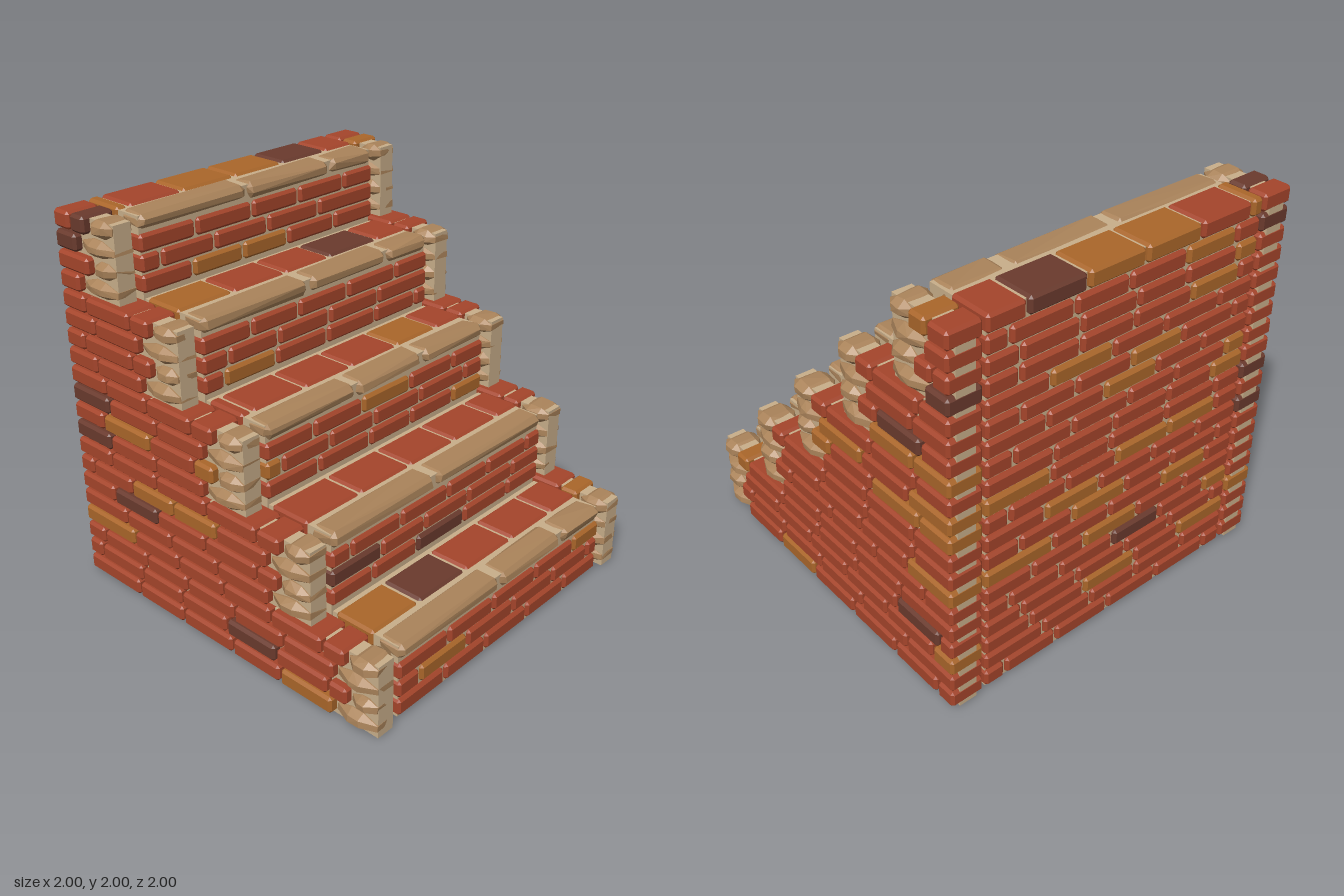
import * as THREE from 'three';
import { mergeGeometries } from 'three/addons/utils/BufferGeometryUtils.js';
import { ConvexGeometry } from 'three/addons/geometries/ConvexGeometry.js';

const colours = { red: 0xa5452b, orange: 0xaa662a, dark: 0x6a3a2d, stone: 0xaa835a, mortar: 0xc8ae8a };
const materials = {};
for (const [name, color] of Object.entries(colours)) {
  materials[name] = new THREE.MeshStandardMaterial({ color });
  materials[name].name = name;
}

// Small seeded generator for wear and colour scatter
let seed = 11;
const rand = () => (seed = (seed * 16807) % 2147483647) / 2147483647;
const wobble = (a) => (rand() - 0.5) * 2 * a;

// Block between two corners with chamfers c = [x, y, z]; wear shifts its points inwards
function block(lo, hi, c, wear = 0) {
  const mid = lo.map((v, i) => (v + hi[i]) / 2);
  const half = lo.map((v, i) => (hi[i] - v) / 2);
  const points = [];
  for (let axis = 0; axis < 3; axis++) {
    for (const sx of [-1, 1]) for (const sy of [-1, 1]) for (const sz of [-1, 1]) {
      const s = [sx, sy, sz];
      const p = s.map((sign, i) => {
        const inset = i === axis ? 0 : Math.min(c[i], half[i] * 0.8);
        return mid[i] + sign * (half[i] - inset - rand() * wear);
      });
      points.push(new THREE.Vector3(...p));
    }
  }
  return new ConvexGeometry(points);
}

// Cut a run of bricks into [from, to] pieces with mortar joints
function cut(length, first, pitch, joint = 0.014) {
  const pieces = [];
  let a = 0, b = first;
  while (a < length - 0.01) {
    if (length - b < 0.09) b = length;
    pieces.push([a + (a ? joint / 2 : 0), b - (b < length ? joint / 2 : 0)]);
    a = b;
    b += pitch + wobble(0.03);
  }
  return pieces;
}

// Colour of a brick: listed spots first, otherwise red
function spotColour(spots, row, a, b) {
  const hit = spots.find(([r, t]) => r === row && t > Math.min(a, b) && t < Math.max(a, b));
  return hit ? hit[2] : 'red';
}
function scatterColour() {
  const r = rand();
  return r < 0.13 ? 'orange' : r < 0.2 ? 'dark' : 'red';
}

export function createModel() {
  const model = new THREE.Group();
  model.name = 'brickStairs';
  const parts = {};
  const add = (part, colour, geometry) => {
    ((parts[part] ??= {})[colour] ??= []).push(geometry);
  };
  const soft = [0.014, 0.014, 0.014];
  const O = 'orange', D = 'dark';

  // First brick length in each riser row (0 marks a nosing row)
  const riserFirst = [0.33, 0.15, 0.35, 0, 0.28, 0.34, 0.13, 0, 0.34, 0.1, 0.31, 0, 0.13, 0.16, 0.31, 0, 0.31, 0.12, 0.34, 0];
  const riserSpots = [[1, -0.5, O], [2, 0.75, O], [4, 0.12, D], [5, -0.6, D], [8, 0.7, O],
    [9, -0.75, O], [10, 0.05, O], [12, -0.5, O], [16, -0.3, O], [16, 0, O]];
  const treadFirst = [0.32, 0.36, 0.07, 0.34, 0.07];
  const treadSpots = [[0, -0.6, O], [0, -0.3, D], [2, 0.4, O], [3, -0.6, O], [3, 0.35, D],
    [4, -0.77, O], [4, -0.2, O], [4, 0.15, O], [4, 0.45, D]];
  const nosingCuts = [[-0.06, 0.45], [-0.07], [-0.2, 0.3], [-0.1, 0.47], [-0.12, 0.47]];
  const wallSpots = [[0, 0.25, O], [2, -0.9, O], [3, 0.76, O], [3, -0.82, D], [6, -0.85, O], [9, -0.02, O],
    [9, -0.55, O], [9, -0.85, O], [10, -0.2, O], [10, -0.87, O], [12, -0.62, O], [12, -0.9, O],
    [13, -0.65, D], [16, -0.93, D], [19, -0.85, O]];

  // Mortar slabs under the steps and inside the side walls
  for (let i = 0; i < 5; i++) {
    const front = 1 - 0.4 * i, top = 0.4 * i + 0.387;
    const slab = (x0, x1, y0, z0, z1) => {
      const g = new THREE.BoxGeometry(x1 - x0, top - y0, z1 - z0).toNonIndexed();
      g.deleteAttribute('uv');
      return g.translate((x0 + x1) / 2, (top + y0) / 2, (z0 + z1) / 2);
    };
    add('stepCore', 'mortar', slab(-0.79, 0.79, 0, i === 4 ? -0.975 : front - 0.425, front - 0.035));
    for (const s of [-1, 1]) {
      const [x0, x1] = s > 0 ? [0.855, 0.953] : [-0.953, -0.855];
      add('wallCore', 'mortar', slab(x0, x1, 0.4 * i, -0.996, front - 0.004));
    }
  }

  // Risers, nosing stones and treads
  for (let row = 0; row < 20; row++) {
    const step = Math.floor(row / 4), front = 1 - 0.4 * step;
    const y0 = row * 0.1 + 0.012, y1 = row * 0.1 + 0.1;
    if (riserFirst[row]) {
      for (const [a, b] of cut(1.6, riserFirst[row], 0.34)) {
        const colour = spotColour(riserSpots, row, a - 0.8, b - 0.8);
        add('riserBricks', colour, block([a - 0.8, y0, front - 0.12], [b - 0.8, y1, front - 0.015], soft));
      }
    } else {
      const ends = [-0.805, ...nosingCuts[step], 0.8];
      for (let n = 0; n < ends.length - 1; n++) {
        add('nosingStones', 'stone', block([ends[n] + 0.005, y0, front - 0.165],
          [ends[n + 1] - 0.005, y1 + 0.002, front - 0.005], [0.025, 0.022, 0.025], 0.012));
      }
      for (const [a, b] of cut(1.6, treadFirst[step], 0.34)) {
        const colour = spotColour(treadSpots, step, a - 0.8, b - 0.8);
        add('treadBricks', colour, block([a - 0.8, y0, front - 0.4], [b - 0.8, y1, front - 0.174], soft));
      }
    }

    // Back wall
    if (row < 19) {
      for (const [a, b] of cut(1.6, 0.1 + 0.25 * rand(), 0.33)) {
        add('backBricks', scatterColour(), block([a - 0.8, y0, -0.998], [b - 0.8, y1, -0.88], soft));
      }
    }

    // Side walls: a tapered end stone, then bricks to the back
    for (const side of [-1, 1]) {
      const [x0, x1] = side > 0 ? [0.815, 0.998] : [-0.998, -0.815];
      const long = row % 2 === 0;
      const stoneLength = (long ? 0.24 : 0.165) + wobble(0.015);
      add('endStones', 'stone', block([x0, y0 - 0.004, front - stoneLength], [x1, y1, front],
        [0.035, 0.026, long ? 0.085 : 0.05], 0.008));
      const start = front - stoneLength - 0.008;
      const first = long ? 0.32 + wobble(0.02) : 0.1 + 0.05 * rand();
      for (const [a, b] of cut(start + 0.998, first, 0.33)) {
        const colour = side > 0 ? spotColour(wallSpots, row, start - a, start - b) : scatterColour();
        add('sideWallBricks', colour, block([x0, y0, start - b], [x1, y1, start - a], soft));
      }
    }
  }

  // One mesh per part and colour
  for (const [part, byColour] of Object.entries(parts)) {
    const group = new THREE.Group();
    group.name = part;
    for (const [colour, list] of Object.entries(byColour)) {
      const mesh = new THREE.Mesh(mergeGeometries(list), materials[colour]);
      mesh.name = `${part} ${colour}`;
      group.add(mesh);
    }
    model.add(group);
  }
  return model;
}
